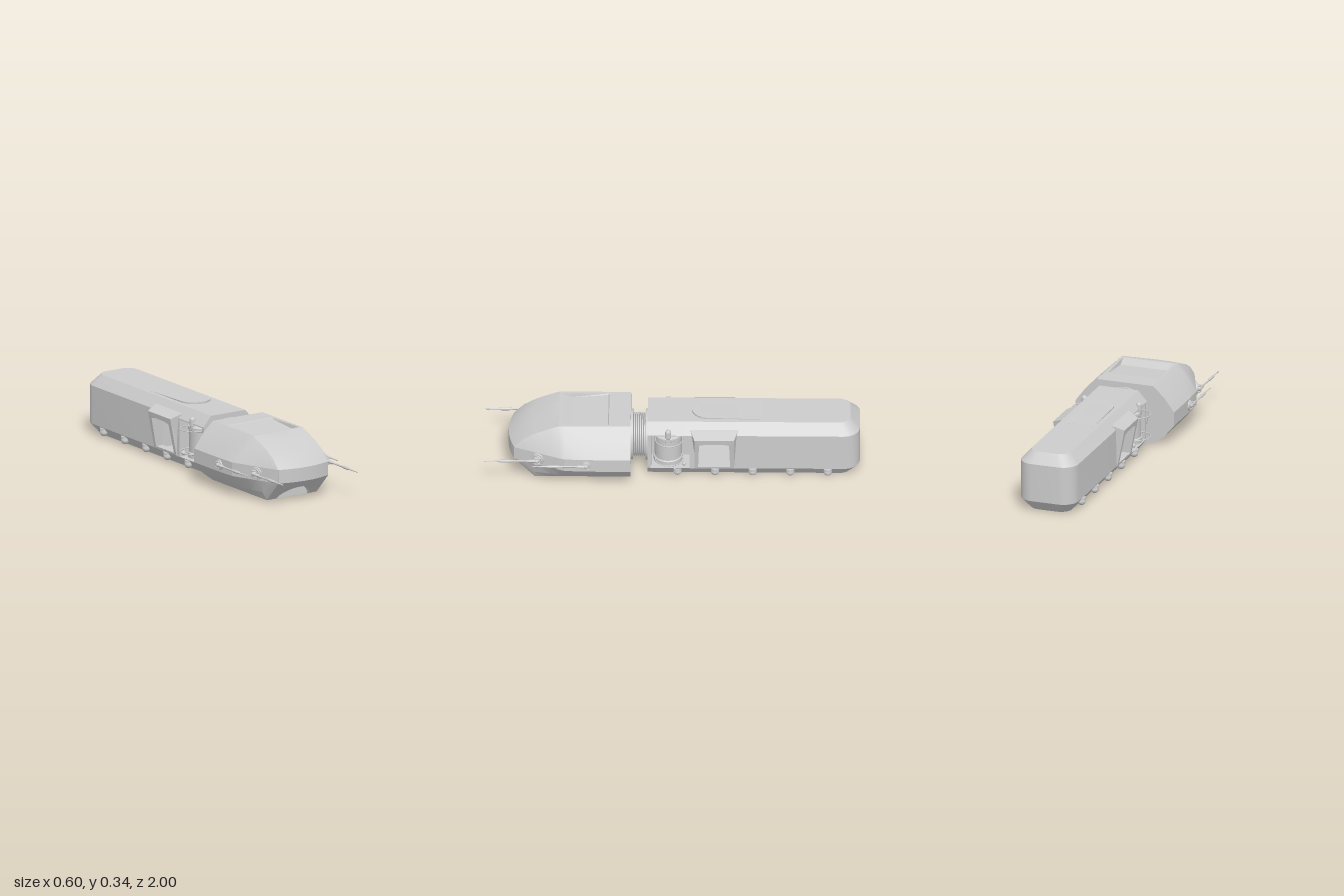
import * as THREE from 'three';
import { toCreasedNormals } from 'three/addons/utils/BufferGeometryUtils.js';

const hullGrey = new THREE.MeshStandardMaterial({ color: 0xcccccc });
hullGrey.name = 'hullGrey';

// Surface through rows of [x, y, z] points
function grid(rows, flip = false, crease = 0.4) {
  const n = rows[0].length, idx = [];
  for (let r = 0; r < rows.length - 1; r++)
    for (let c = 0; c < n - 1; c++) {
      const a = r * n + c, b = a + 1, d = a + n, e = d + 1;
      idx.push(...(flip ? [a, d, b, b, d, e] : [a, b, d, b, e, d]));
    }
  const g = new THREE.BufferGeometry();
  g.setAttribute('position', new THREE.Float32BufferAttribute(rows.flat(2), 3));
  g.setIndex(idx);
  return toCreasedNormals(g, crease);
}

// Copy of a geometry reflected in x, with its winding restored
function mirrored(geo) {
  const g = geo.index ? geo.toNonIndexed() : geo.clone();
  for (const key of ['position', 'normal']) {
    const a = g.attributes[key], v = [];
    for (let i = 0; i < a.count; i += 3)
      for (const j of [i, i + 2, i + 1]) v.push(-a.getX(j), a.getY(j), a.getZ(j));
    g.setAttribute(key, new THREE.Float32BufferAttribute(v, 3));
  }
  return g;
}

// Closed stack of plan outlines with a rounded rear end; levels are [y, inset]
function stack(levels, zFront, zRear = -1) {
  const ring = ([y, inset]) => {
    const h = 0.16 - inset, zr = zRear + inset, r = 0.085 - inset * 0.5, p = [[h, y, zFront]];
    for (let i = 0; i <= 8; i++) {
      const t = i / 8 * Math.PI / 2;
      p.push([h - r + r * Math.cos(t), y, zr + r - r * Math.sin(t)]);
    }
    return [...p, ...p.slice().reverse().map(([x, , z]) => [-x, y, z]), p[0]];
  };
  const rows = levels.map(ring), zc = (zFront + zRear) / 2;
  const cap = row => row.map(p => [0, p[1], zc]);
  return grid([cap(rows[0]), ...rows, cap(rows[rows.length - 1])]);
}

export function createModel() {
  const model = new THREE.Group();
  model.name = 'articulatedVehicle';
  const add = (name, geo) => {
    const m = new THREE.Mesh(geo, hullGrey);
    m.name = name;
    model.add(m);
  };
  const pair = (name, geo) => {
    add(name + 'Left', geo);
    add(name + 'Right', mirrored(geo));
  };
  const box = (w, h, d, x, y, z) => new THREE.BoxGeometry(w, h, d).translate(x, y, z);
  const points = list => list.map(p => new THREE.Vector2(...p));

  // Front cab flanks: z, half width, roof height, floor height
  const stations = [
    [0.22, 0.28, 0.325, 0], [0.45, 0.28, 0.325, 0], [0.57, 0.275, 0.325, 0], [0.60, 0.264, 0.325, 0],
    [0.65, 0.243, 0.308, 0], [0.73, 0.21, 0.275, 0], [0.79, 0.185, 0.24, 0.0627], [0.84, 0.162, 0.19, 0.115],
  ];
  const flank = ([z, w, top, bot]) => {
    const mid = 0.16 + (w - 0.16) * 0.52;
    return [[0.16, top, z], [mid, 0.19 + (top - 0.19) * 0.57, z], [w, 0.19, z],
      [w, 0.115, z], [mid, 0.115 - (0.115 - bot) * 0.6, z], [0.16, bot, z]];
  };
  pair('cabFlank', grid(stations.map(flank), true, 0.3));

  // Cab centre: floor, arched notch, nose band, windscreen and sunken roof
  const xs = [0, 0.02, 0.04, 0.06, 0.075, 0.088, 0.096, 0.1, 0.12, 0.14, 0.145, 0.16];
  const bulge = x => 0.03 * (1 - (x / 0.16) ** 2);
  const columns = [...xs.slice(1).reverse().map(x => -x), ...xs].map(x => {
    const b = bulge(x);
    const a = Math.abs(x) < 0.1 ? 0.07 * Math.sqrt(1 - (x / 0.1) ** 2) : 0;
    const sink = Math.abs(x) < 0.143 ? 0.022 : 0;
    return [[0.22, 0], [0.73, 0], [0.73, a], [0.73 + (0.11 + b) * a / 0.115, a],
      [0.84 + b, 0.115], [0.84 + b, 0.19], [0.79 + 0.8 * b, 0.24], [0.73 + 0.5 * b, 0.275],
      [0.65 + 0.2 * b, 0.308], [0.6, 0.325], [0.585, 0.325], [0.53, 0.325 - sink],
      [0.34, 0.325 - sink * 0.3], [0.335, 0.325], [0.22, 0.325]].map(([z, y]) => [x, y, z]);
  });
  add('cabCentre', grid(columns, true, 0.3));

  // Thin round-ended panel on the nose band
  const panel = [-0.153, -0.148, -0.138, -0.12, -0.06, 0, 0.06, 0.12, 0.138, 0.148, 0.153].map(x => {
    const e = Math.max(0, (Math.abs(x) - 0.12) / 0.033), h = 0.004 + 0.024 * Math.sqrt(1 - e * e);
    return [0.149 - h, 0.149 + h].map(y => [x, y, 0.842 + bulge(x)]);
  });
  add('nosePanel', grid(panel, true));

  // Cab rear wall
  const half = flank(stations[0]);
  const wall = new THREE.Shape(points([...half, ...half.slice().reverse().map(([x, y]) => [-x, y])]
    .map(([x, y]) => [x, y])));
  add('cabRearWall', new THREE.ShapeGeometry(wall).rotateY(Math.PI).translate(0, 0, 0.22));

  // Ribbed coupling between the two hulls
  const rib = [[0, 0.125], [0.135, 0.125], [0.135, 0.14]];
  for (let i = 0; i < 6; i++) {
    const z = 0.14 + i * 0.011;
    rib.push([0.105, z], [0.116, z + 0.003], [0.116, z + 0.008], [0.105, z + 0.011]);
  }
  rib.push([0.135, 0.208], [0.135, 0.222], [0, 0.222]);
  add('coupling', toCreasedNormals(new THREE.LatheGeometry(points(rib), 40), 0.5)
    .rotateX(Math.PI / 2).translate(0, 0.165, 0));

  // Rear hull: floor, roof, solid rear, and an open bay in front
  add('rearFloor', stack([[0, 0.045], [0.058, 0]], 0.13));
  add('rearRoof', stack([[0.262, 0], [0.268, 0], [0.325, 0.05]], 0.13));
  add('rearBody', stack([[0.058, 0], [0.265, 0]], -0.31));
  add('bayCore', box(0.07, 0.21, 0.24, 0, 0.16, 0));
  add('bayFrontWall', box(0.31, 0.21, 0.02, 0, 0.16, 0.12));
  add('bayRearWall', box(0.318, 0.21, 0.045, 0, 0.16, -0.1175));

  // Flared frame around each through window
  const frame = new THREE.Shape(points([[0.12, 0.058], [0.33, 0.058], [0.36, 0.3], [0.09, 0.3]]));
  frame.holes.push(new THREE.Path(points(
    [[0.14, 0.07], [0.145, 0.23], [0.18, 0.238], [0.27, 0.238], [0.305, 0.23], [0.31, 0.07]])));
  const flare = new THREE.ExtrudeGeometry(frame, { depth: 0.05, bevelEnabled: false })
    .rotateY(Math.PI / 2).translate(0.12, 0, 0);
  const fp = flare.attributes.position;
  for (let i = 0; i < fp.count; i++) {
    if (fp.getX(i) < 0.15) continue;
    const y = fp.getY(i), z = fp.getZ(i);
    fp.setX(i, 0.163 + 0.04 * Math.min(1, (y - 0.058) / 0.2));
    if (y > 0.29) fp.setXYZ(i, 0.203, 0.265, z + (z < -0.2 ? 0.03 : -0.03));
  }
  flare.computeVertexNormals();
  pair('windowFrame', flare);

  // Drum, hoops and top pipe in each bay
  const drum = points([[0, 0.075], [0.078, 0.075], [0.078, 0.1], [0.072, 0.105], [0.072, 0.225], [0.078, 0.23],
    [0.078, 0.245], [0.055, 0.256], [0, 0.256]]);
  pair('drum', toCreasedNormals(new THREE.LatheGeometry(drum, 28), 0.5).translate(0.09, 0, 0.02));
  for (const y of [0.11, 0.235])
    pair('drumHoop', new THREE.TorusGeometry(0.073, 0.003, 8, 32).rotateX(Math.PI / 2).translate(0.145, y, 0.015));
  pair('drumPipe', new THREE.CapsuleGeometry(0.016, 0.03, 5, 14).translate(0.155, 0.27, 0.02));
  pair('bayKnob', new THREE.SphereGeometry(0.012, 12, 8).translate(0.155, 0.085, -0.065));

  // Ball feet along the lower edges
  for (let i = 0; i < 5; i++) {
    const z = -0.03 - i * 0.2;
    pair('footBall', new THREE.SphereGeometry(0.022, 16, 12).translate(0.146, 0.03, z));
    pair('footCollar', new THREE.CylinderGeometry(0.023, 0.023, 0.014, 16).translate(0.146, 0.046, z));
  }

  // Wedge-shaped roof scoop with a rounded slot, tallest at its round front
  const slot = (P, r, tail) => new P().moveTo(-r, tail).lineTo(-r, -0.19)
    .absarc(0, -0.19, r, Math.PI, 0, true).lineTo(r, tail).closePath();
  const scoop = slot(THREE.Shape, 0.085, -0.48);
  scoop.holes.push(slot(THREE.Path, 0.05, -0.35));
  const scoopGeo = new THREE.ExtrudeGeometry(scoop, { depth: 0.012, bevelEnabled: false, curveSegments: 20 })
    .rotateX(Math.PI / 2);
  const sp = scoopGeo.attributes.position;
  for (let i = 0; i < sp.count; i++)
    sp.setY(i, sp.getY(i) > -0.006 ? 0.3255 + 0.0095 * (sp.getZ(i) + 0.48) / 0.375 : 0.322);
  scoopGeo.computeVertexNormals();
  add('roofScoop', scoopGeo);

  // Swivel mounts with slim barrels on the cab flanks
  const barrel = points([[0, 0], [0.009, 0], [0.009, 0.04], [0.005, 0.05], [0.005, 0.13], [0.008, 0.15], [0.008, 0.19],
    [0.004, 0.21], [0.003, 0.28], [0, 0.28]]);
  for (const [name, x, z, turn, gx, r] of [['front', 0.219, 0.715, 0.4, 0.24, 0.034], ['side', 0.28, 0.455, 0, 0.29, 0.028]]) {
    const place = g => g.rotateY(-turn).translate(x, 0.153, z);
    pair(name + 'MountDisc', place(new THREE.CylinderGeometry(r, r + 0.002, 0.014, 28).rotateZ(-Math.PI / 2)));
    pair(name + 'MountRing', place(new THREE.TorusGeometry(r * 0.7, 0.004, 8, 24).rotateY(Math.PI / 2).translate(0.007, 0, 0)));
    pair(name + 'MountBall', new THREE.SphereGeometry(0.015, 16, 12).translate(gx - 0.004, 0.153, z + 0.003));
    for (const dy of [-0.016, 0.016])
      pair(name + 'MountLug', box(0.018, 0.006, 0.03, gx - 0.003, 0.153 + dy, z));
    pair(name + 'Barrel', toCreasedNormals(new THREE.LatheGeometry(barrel, 12), 0.5)
      .rotateX(Math.PI / 2).translate(gx, 0.153, z + 0.005));
  }
  return model;
}
